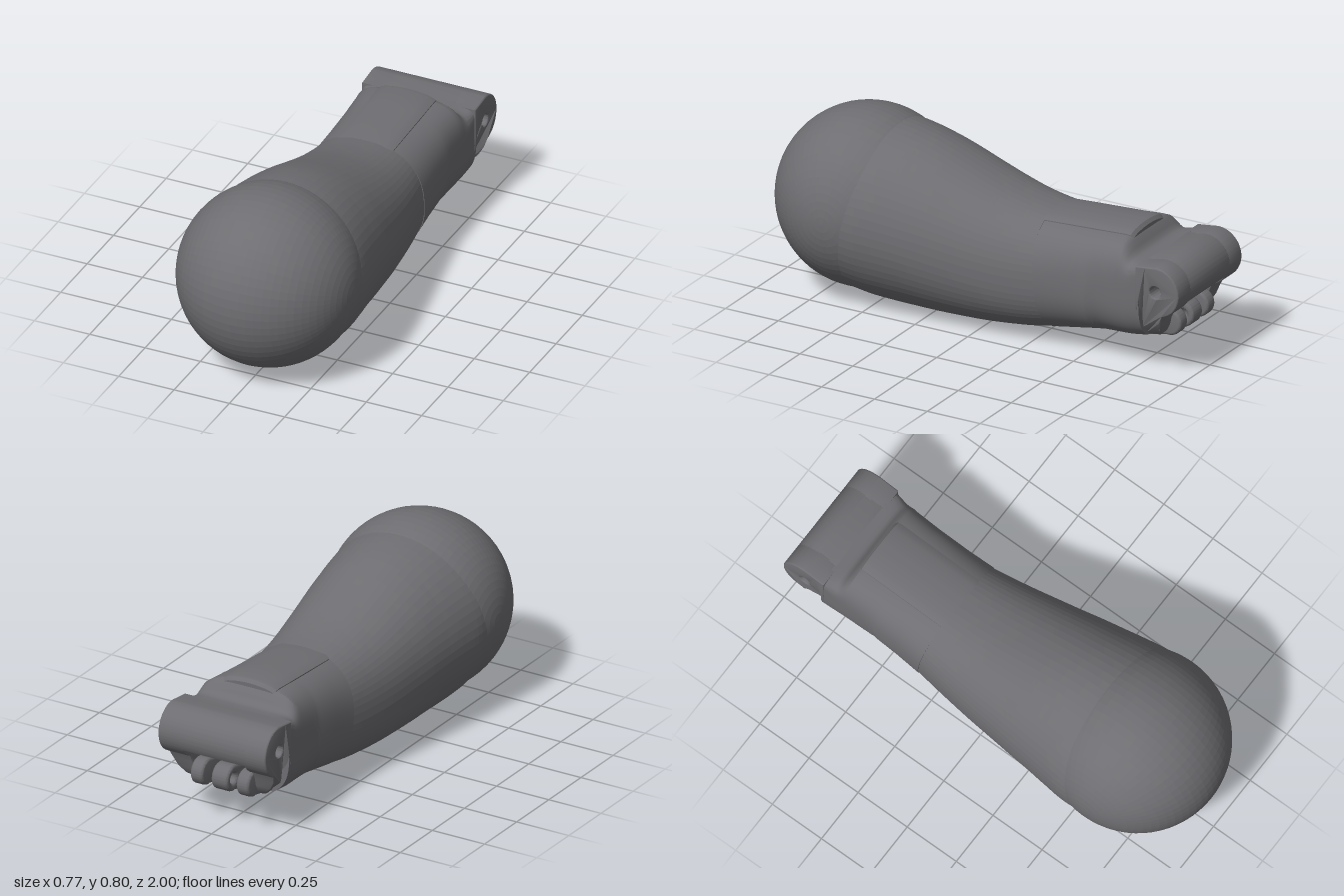
import * as THREE from 'three';
import { toCreasedNormals } from 'three/addons/utils/BufferGeometryUtils.js';

const smoothMat = new THREE.MeshStandardMaterial({ color: 0x6e6d71 });
const facetMat = new THREE.MeshStandardMaterial({ color: 0x6e6d71, flatShading: true });

// Skin over rings of [x, y, z] running from front to back, closed at both ends
function loft(rings) {
  const L = rings[0].length, last = (rings.length - 1) * L, idx = [];
  for (let i = 0; i < rings.length - 1; i++) {
    for (let j = 0; j < L; j++) {
      const k = (j + 1) % L, a = i * L + j, b = i * L + k;
      idx.push(a, a + L, b, b, a + L, b + L);
    }
  }
  for (let j = 0; j < L / 2 - 1; j++) {
    const a = j, b = j + 1, c = L - 2 - j, d = L - 1 - j;
    idx.push(a, b, c, a, c, d);
    idx.push(last + a, last + c, last + b, last + a, last + d, last + c);
  }
  const g = new THREE.BufferGeometry();
  g.setAttribute('position', new THREE.Float32BufferAttribute(rings.flat(2), 3));
  g.setIndex(idx);
  return toCreasedNormals(g, 0.6);
}

// Rounded arc with separate upper and lower radii, cut off below yCut
function arc(w, cy, up, down, n, nLow, yCut, count) {
  const s = Math.min(1, Math.max(0, (cy - yCut) / down));
  const t0 = -Math.asin(Math.pow(s, nLow / 2));
  const pts = [];
  for (let i = 0; i <= count; i++) {
    const t = t0 + (Math.PI - 2 * t0) * i / count;
    const c = Math.cos(t), q = Math.sin(t), e = q > 0 ? n : nLow;
    pts.push([
      w * Math.sign(c) * Math.pow(Math.abs(c), 2 / e),
      cy + (q > 0 ? up : -down) * Math.pow(Math.abs(q), 2 / e),
    ]);
  }
  return pts;
}

// Side profile (z, y) extruded across x, with an optional rule that moves the vertices
function slab(shape, x, width, bevel = 0.01, bend = null) {
  const g = new THREE.ExtrudeGeometry(shape, {
    depth: width - 2 * bevel, bevelSize: bevel, bevelThickness: bevel, bevelOffset: -bevel,
    bevelSegments: 3, curveSegments: 28,
  });
  g.rotateY(-Math.PI / 2).translate(x + width / 2 - bevel, 0, 0);
  const p = g.attributes.position;
  if (bend) for (let i = 0; i < p.count; i++) p.setX(i, bend(p.getX(i), p.getY(i)));
  return toCreasedNormals(g, 0.6);
}

function addHole(shape, z, y, r) {
  shape.holes.push(new THREE.Path().absarc(z, y, r, 0, Math.PI * 2, true));
}

export function createModel() {
  const group = new THREE.Group();
  const add = (name, geometry, material = smoothMat) => {
    const mesh = new THREE.Mesh(geometry, material);
    mesh.name = name;
    group.add(mesh);
  };

  // Ball-shaped nose with its poles at the sides
  const ball = new THREE.SphereGeometry(0.385, 64, 36).rotateZ(Math.PI / 2);
  add('nose', ball.translate(0, 0.41, 0.615), facetMat);

  // Tapering body: z, bottom, top, half width
  const body = [
    [0.6, 0.027, 0.78, 0.374], [0.5, 0.012, 0.767, 0.375], [0.4, 0.004, 0.755, 0.362],
    [0.3, 0, 0.734, 0.347], [0.2, 0.001, 0.702, 0.332], [0.1, 0.005, 0.664, 0.316],
    [0, 0.011, 0.627, 0.301], [-0.1, 0.022, 0.594, 0.285], [-0.2, 0.036, 0.57, 0.269],
    [-0.29, 0.055, 0.556, 0.255],
  ];
  const smooth = k => new THREE.SplineCurve(body.map(s => new THREE.Vector2(s[0], s[k]))).getPoints(36);
  const bottoms = smooth(1), tops = smooth(2), widths = smooth(3);
  add('body', loft(tops.map((p, i) => {
    const h = (p.y - bottoms[i].y) / 2, back = Math.max(0, (0.3 - p.x) / 0.6);
    const n = 2 + 0.4 * back;
    const pts = arc(widths[i].y, p.y - h, h, h, n, n, -1, 63);
    return pts.map(([x, y]) => [x, y, p.x - 0.09 * back * (0.55 - y)]);
  })), facetMat);

  // Hollow rear shell, open underneath: z, top, centre, bottom, cut, half width, squareness
  const shell = [
    [-0.29, 0.553, 0.306, 0.054, 0, 0.258, 2.4], [-0.42, 0.555, 0.313, 0.072, 0, 0.25, 2.7],
    [-0.54, 0.557, 0.32, 0.09, 0.09, 0.247, 3], [-0.57, 0.558, 0.322, 0.095, 0.11, 0.246, 3.1],
    [-0.6, 0.559, 0.325, 0.1, 0.135, 0.246, 3.2], [-0.68, 0.561, 0.33, 0.11, 0.141, 0.246, 3.5],
    [-0.7, 0.556, 0.333, 0.112, 0.143, 0.247, 3.8], [-0.715, 0.541, 0.334, 0.114, 0.144, 0.247, 4],
    [-0.73, 0.514, 0.336, 0.116, 0.146, 0.248, 4.6], [-0.742, 0.497, 0.338, 0.118, 0.148, 0.249, 5.2],
    [-0.755, 0.489, 0.34, 0.12, 0.15, 0.25, 6], [-0.775, 0.487, 0.343, 0.124, 0.153, 0.252, 8],
    [-0.81, 0.49, 0.35, 0.13, 0.158, 0.255, 11],
  ];
  const wall = 0.045;
  add('rearShell', loft(shell.map(([z, top, cy, bot, cut, w, n]) => {
    const nLow = Math.min(3, 2.4 + Math.max(0, -0.54 - z) * 3);
    const outer = arc(w, cy, top - cy, cy - bot, n, nLow, cut, 56);
    const inner = arc(w - wall, cy, top - cy - wall, cy - bot - 0.01, n, nLow, cut, 56).reverse();
    const lean = 0.09 * Math.max(0, (z + 0.54) / 0.25);
    return [...outer, ...inner].map(([x, y]) => [x, y, z - lean * (0.55 - y)]);
  })));

  // Raised panel that grows out of the body top: z, top, half width
  const panel = [
    [-0.25, 0.552, 0.127], [-0.3, 0.559, 0.127], [-0.4, 0.565, 0.127], [-0.55, 0.573, 0.127],
    [-0.68, 0.58, 0.127], [-0.698, 0.577, 0.126], [-0.71, 0.563, 0.122],
  ];
  add('topPanel', loft(panel.map(([z, top, w]) => {
    const ring = [[w, 0.48, z]];
    for (let i = 0; i <= 13; i++) {
      const u = 1 - 2 * i / 13;
      ring.push([w * u, top - 0.016 * u * u - 0.006 * u ** 12, z]);
    }
    return [...ring, [-w, 0.48, z]];
  })));

  // Hinge cheeks with the cross hole, narrowing below to follow the shell wall
  const hz = -0.89, hy = 0.39, hr = 0.11;
  const narrow = (x, y) => {
    const drop = Math.max(0, (0.35 - y) / 0.19);
    return Math.abs(x) > 0.2 ? x - Math.sign(x) * 0.095 * drop ** 3 : x;
  };
  for (const side of [-1, 1]) {
    const cheek = new THREE.Shape();
    cheek.moveTo(-0.795, 0.488);
    cheek.lineTo(-0.84, 0.493);
    cheek.lineTo(hz, hy + hr);
    cheek.absarc(hz, hy, hr, Math.PI / 2, Math.PI * 1.4, false);
    for (const [z, y] of [[-0.908, 0.25], [-0.9, 0.215], [-0.885, 0.185], [-0.865, 0.168],
      [-0.795, 0.158], [-0.795, 0.2], [-0.795, 0.25], [-0.795, 0.3], [-0.795, 0.35]]) cheek.lineTo(z, y);
    cheek.closePath();
    addHole(cheek, hz, hy, 0.026);
    add('hingeCheek', slab(cheek, side * 0.202, 0.11, 0.006, narrow));
  }

  // Curved hinge cover between the cheeks, hollow below
  const cover = new THREE.Shape();
  cover.moveTo(-0.79, 0.488);
  cover.lineTo(-0.84, 0.493);
  cover.lineTo(hz, hy + hr);
  cover.absarc(hz, hy, hr, Math.PI / 2, Math.PI * 1.17, false);
  cover.absarc(hz, hy, 0.065, Math.PI * 1.17, Math.PI * 0.4, true);
  cover.lineTo(-0.79, 0.45);
  cover.closePath();
  add('hingeCover', slab(cover, 0, 0.32, 0.002));

  // Inner block and the platform that carries the lugs
  const block = new THREE.BoxGeometry(0.28, 0.35, 0.24);
  add('innerBlock', block.translate(0, 0.335, -0.46));
  const platform = new THREE.Shape([
    [-0.56, 0.155], [-0.64, 0.155], [-0.79, 0.165], [-0.83, 0.2], [-0.79, 0.24], [-0.56, 0.26],
  ].map(p => new THREE.Vector2(...p)));
  add('lugPlatform', slab(platform, 0, 0.25));

  // Three rounded lugs, the middle one drilled
  for (const x of [-0.11, 0, 0.11]) {
    const lug = new THREE.Shape();
    lug.moveTo(-0.62, 0.24);
    lug.lineTo(-0.78, 0.25);
    lug.lineTo(-0.87, 0.272);
    lug.absarc(-0.885, 0.215, 0.058, Math.PI * 0.42, Math.PI * 1.55, false);
    lug.lineTo(-0.78, 0.137);
    lug.lineTo(-0.63, 0.138);
    lug.closePath();
    if (x === 0) addHole(lug, -0.89, 0.215, 0.023);
    add('lug', slab(lug, x, x === 0 ? 0.08 : 0.06, 0.012));
  }
  return group;
}
